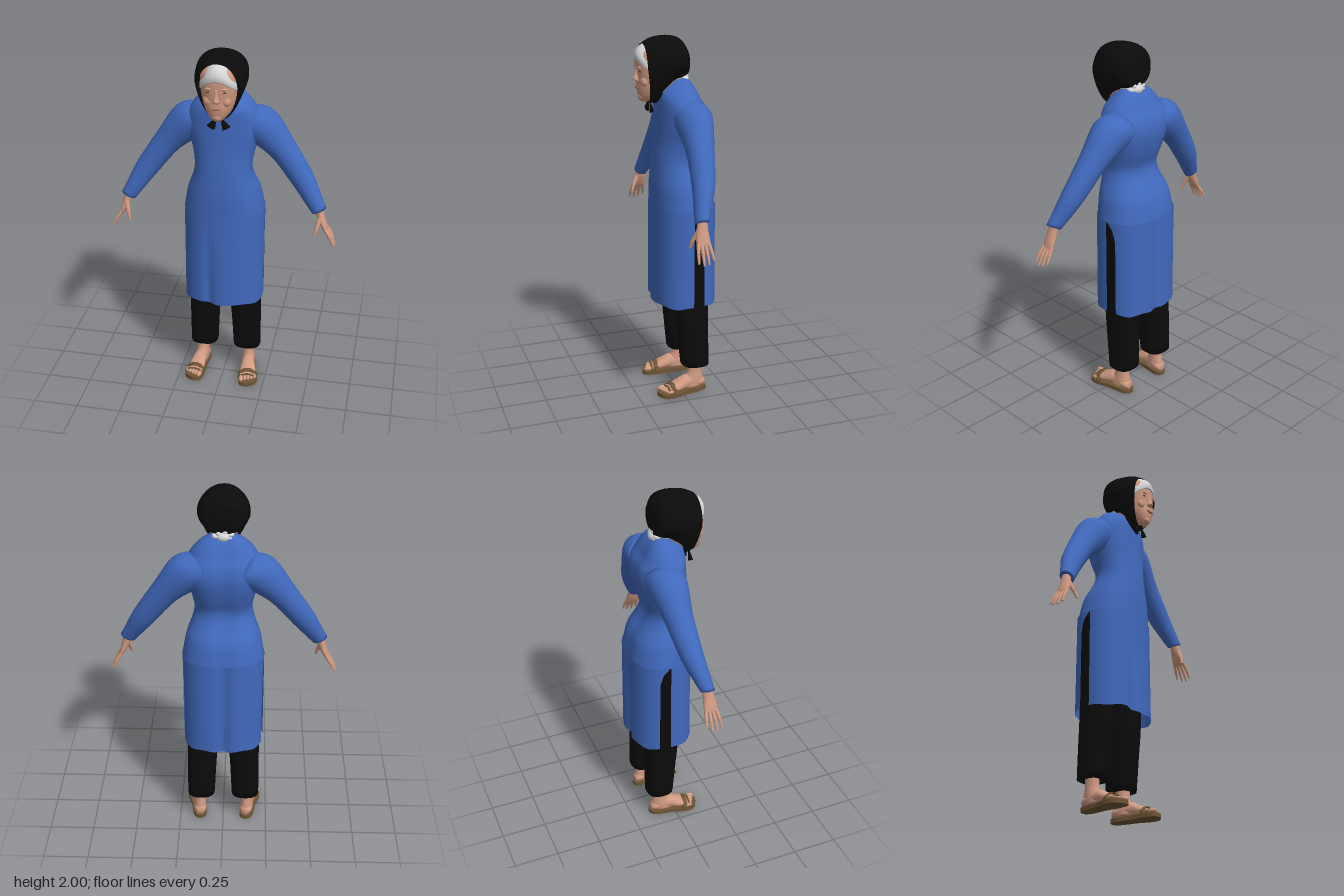
import * as THREE from 'three';

const mat = (name, color, side = THREE.FrontSide) => {
  const m = new THREE.MeshStandardMaterial({ color, side });
  m.name = name;
  return m;
};

// Grid surface from fn(u, v); wraps around u, optional end caps, faces turned outwards
function grid(fn, nu, nv, wrap, capA, capB) {
  const pos = [], idx = [], cols = wrap ? nu : nu + 1;
  for (let j = 0; j <= nv; j++) for (let i = 0; i < cols; i++) pos.push(...fn(i / nu, j / nv));
  for (let j = 0; j < nv; j++) for (let i = 0; i < nu; i++) {
    const a = j * cols + i, b = j * cols + (i + 1) % cols;
    idx.push(a, b, a + cols, b, b + cols, a + cols);
  }
  const cap = (row, flip) => {
    const c = [0, 0, 0], n = pos.length / 3;
    for (let i = 0; i < cols; i++) for (let k = 0; k < 3; k++) c[k] += pos[(row * cols + i) * 3 + k] / cols;
    pos.push(...c);
    for (let i = 0; i < cols; i++) {
      const a = row * cols + i, b = row * cols + (i + 1) % cols;
      idx.push(...(flip ? [n, b, a] : [n, a, b]));
    }
  };
  if (capA) cap(0, true);
  if (capB) cap(nv, false);
  const g = new THREE.BufferGeometry();
  g.setAttribute('position', new THREE.Float32BufferAttribute(pos, 3));
  g.computeBoundingBox();
  const mid = g.boundingBox.getCenter(new THREE.Vector3());
  const P = i => new THREE.Vector3().fromArray(pos, i * 3).sub(mid);
  let vol = 0;
  for (let i = 0; i < idx.length; i += 3) vol += P(idx[i]).dot(P(idx[i + 1]).cross(P(idx[i + 2])));
  g.setIndex(vol < 0 ? idx.reverse() : idx);
  g.computeVertexNormals();
  return g;
}

const spow = (v, e) => Math.sign(v) * Math.abs(v) ** e;

// Smooth loft through stations [x, y, z, halfWidth, halfDepth, tilt]
function loft(st, { seg = 24, p = 2, capA = true, capB = true, warp = null } = {}) {
  const path = new THREE.CatmullRomCurve3(st.map(s => new THREE.Vector3(s[0], s[1], s[2])), false, 'catmullrom', 0.5);
  const size = new THREE.CatmullRomCurve3(st.map(s => new THREE.Vector3(s[3], s[4], s[5] || 0)), false, 'catmullrom', 0.5);
  return grid((u, v) => {
    const c = path.getPoint(v), r = size.getPoint(v), t = u * Math.PI * 2;
    const w = r.x * spow(Math.cos(t), 2 / p), d = r.y * spow(Math.sin(t), 2 / p);
    const q = [c.x + w * Math.cos(r.z), c.y + w * Math.sin(r.z), c.z + d];
    return warp ? warp(q) : q;
  }, seg, (st.length - 1) * 4, true, capA, capB);
}

const ball = (x, y, z, a, b, c) => new THREE.SphereGeometry(1, 16, 10).scale(a, b, c).translate(x, y, z);

// Tapered round bar between two points
function bar(p, q, r0, r1) {
  const A = new THREE.Vector3(...p), B = new THREE.Vector3(...q), d = B.clone().sub(A);
  const g = new THREE.CylinderGeometry(r1, r0, d.length(), 8);
  g.applyQuaternion(new THREE.Quaternion().setFromUnitVectors(new THREE.Vector3(0, 1, 0), d.clone().normalize()));
  return g.translate(...A.add(B).multiplyScalar(0.5).toArray());
}

function mirrored(geo) {
  const g = geo.clone().scale(-1, 1, 1);
  const n = g.attributes.position.count;
  const idx = g.index ? Array.from(g.index.array) : Array.from({ length: n }, (_, i) => i);
  g.setIndex(idx.reverse());
  return g;
}

export function createModel() {
  const model = new THREE.Group();
  model.name = 'womanInTunic';
  const blue = mat('tunicBlue', 0x4169bd, THREE.DoubleSide);
  const black = mat('clothBlack', 0x0b0b0b, THREE.DoubleSide);
  const skin = mat('skin', 0xd09a82);
  const hair = mat('hairGrey', 0xd6d6d6);
  const brown = mat('sandalBrown', 0x6e5535);
  const lip = mat('lips', 0x9c6555);
  const dark = mat('eyeDark', 0x594238);
  const add = (name, geo, m) => {
    const o = new THREE.Mesh(geo, m);
    o.name = name;
    model.add(o);
  };
  const pair = (name, geo, m) => {
    add(name + 'Left', geo, m);
    add(name + 'Right', mirrored(geo), m);
  };

  // Tunic bodice, with a collar that drops towards the front and a soft spine groove
  add('bodice', loft([
    [0, 1.085, -0.046, 0.222, 0.170], [0, 1.2, -0.033, 0.2, 0.158], [0, 1.29, -0.01, 0.167, 0.13],
    [0, 1.36, -0.003, 0.155, 0.118], [0, 1.45, -0.022, 0.17, 0.128], [0, 1.55, -0.035, 0.198, 0.135],
    [0, 1.63, -0.032, 0.198, 0.128], [0, 1.68, -0.015, 0.17, 0.11], [0, 1.72, 0.012, 0.12, 0.083],
    [0, 1.75, 0.042, 0.066, 0.055],
  ], {
    seg: 40, p: 2.25, capA: false, capB: false, warp: ([x, y, z]) => {
      const k = THREE.MathUtils.smoothstep(y, 1.66, 1.75);
      const groove = z < -0.06 ? 0.012 * Math.exp(-((x / 0.04) ** 2)) : 0;
      return [x, y - 0.7 * k * (z - 0.04), z + groove];
    },
  }), blue);

  // Skirt panels, parted by a slit at each side
  const panel = front => grid((u, v) => {
    const y = 1.09 - 0.555 * v;
    const slit = 0.29 * Math.sqrt(Math.min(1, v / 0.2));
    const t = front ? u * Math.PI : Math.PI + slit + u * (Math.PI - 2 * slit);
    const x = 0.222 * spow(Math.cos(t), 2 / 2.4);
    let z = -0.046 + (0.17 + 0.005 * v) * spow(Math.sin(t), 2 / 2.4);
    if (front) z -= 0.02 * v * Math.exp(-(((x + 0.06) / 0.025) ** 2));
    else z += 0.014 * Math.exp(-((x / 0.035) ** 2)) * (1 + 0.6 * v);
    return [x, y + 0.005 * v * Math.cos(u * 19), z];
  }, 48, 14, false);
  add('skirtFront', panel(true), blue);
  add('skirtBack', panel(false), blue);

  // Sleeves
  pair('sleeve', loft([
    [0.09, 1.6, -0.05, 0.1, 0.1, 0.95], [0.18, 1.575, -0.05, 0.112, 0.102, 0.72],
    [0.305, 1.455, -0.042, 0.077, 0.075, 0.62], [0.425, 1.293, -0.018, 0.063, 0.06, 0.55],
    [0.49, 1.19, 0.01, 0.049, 0.046, 0.5], [0.525, 1.135, 0.026, 0.042, 0.037, 0.45],
  ]), blue);

  // Hands
  pair('palm', loft([
    [0.522, 1.16, 0.022, 0.022, 0.024, 0.4], [0.537, 1.1, 0.028, 0.021, 0.031, 0.4],
    [0.555, 1.055, 0.03, 0.017, 0.037, 0.5], [0.568, 1.025, 0.03, 0.011, 0.035, 0.5],
  ], { seg: 14 }), skin);
  [-1.5, -0.5, 0.5, 1.5].forEach((k, i) => {
    const len = [0.8, 0.97, 1, 0.9][i];
    const a = [0.562, 1.04, 0.03 + k * 0.018];
    const b = [0.562 + 0.034 * len, 1.04 - 0.052 * len, 0.031 + k * 0.024];
    const c = [0.562 + 0.058 * len, 1.04 - 0.1 * len, 0.031 + k * 0.027];
    pair('fingerBase', bar(a, b, 0.0105, 0.009), skin);
    pair('fingerTip', bar(b, c, 0.009, 0.005), skin);
  });
  pair('thumbBase', bar([0.535, 1.1, 0.045], [0.52, 1.045, 0.073], 0.015, 0.011), skin);
  pair('thumbTip', bar([0.52, 1.045, 0.073], [0.51, 1.005, 0.085], 0.011, 0.006), skin);

  // Trousers
  pair('trouserLeg', loft([
    [0.127, 0.165, -0.083, 0.078, 0.077], [0.122, 0.35, -0.073, 0.082, 0.085],
    [0.116, 0.53, -0.063, 0.087, 0.093], [0.113, 0.8, -0.062, 0.09, 0.098], [0.112, 1.12, -0.052, 0.088, 0.1],
  ], { p: 2.6 }), black);

  // Feet and sandals, made facing forward and then turned slightly outwards
  const foot = (name, g, m) => pair(name, g.rotateY(0.12).translate(0.147, 0, 0), m);
  foot('ankle', loft([
    [0, 0.2, -0.08, 0.034, 0.042], [0, 0.12, -0.08, 0.033, 0.042],
    [0, 0.07, -0.07, 0.037, 0.062], [0, 0.03, -0.06, 0.036, 0.075],
  ], { seg: 18 }), skin);
  foot('footBody', loft([
    [0, -0.138, -0.045, 0.02, 0.02], [0, -0.11, -0.052, 0.035, 0.03], [0, -0.03, -0.062, 0.037, 0.042],
    [0, 0.03, -0.048, 0.045, 0.03], [0, 0.085, -0.036, 0.046, 0.016],
  ], { seg: 18 }).rotateX(Math.PI / 2), skin);
  for (let i = 0; i < 5; i++) {
    const r = i ? 0.0095 : 0.0135;
    foot('toe', ball(-0.036 + i * 0.0185 + (i ? 0.004 : 0), 0.034, 0.108 - 0.007 * i, r, r, 0.026), skin);
  }
  const sole = new THREE.Shape();
  sole.moveTo(0, -0.148);
  sole.bezierCurveTo(0.055, -0.148, 0.035, -0.05, 0.045, 0);
  sole.bezierCurveTo(0.06, 0.06, 0.062, 0.09, 0.045, 0.115);
  sole.bezierCurveTo(0.02, 0.142, -0.03, 0.15, -0.045, 0.125);
  sole.bezierCurveTo(-0.06, 0.08, -0.04, 0.02, -0.038, -0.03);
  sole.bezierCurveTo(-0.036, -0.08, -0.05, -0.148, 0, -0.148);
  const soleGeo = new THREE.ExtrudeGeometry(sole, { depth: 0.022, bevelEnabled: false, curveSegments: 10 });
  foot('sandalSole', soleGeo.rotateX(Math.PI / 2).translate(0, 0.022, 0), brown);
  foot('sandalStrap', new THREE.TorusGeometry(0.05, 0.007, 6, 18, Math.PI).scale(1, 0.92, 2.6).translate(0, 0.018, 0.06), brown);
  foot('sandalToeStrap', new THREE.TorusGeometry(0.05, 0.006, 6, 18, Math.PI).scale(1.02, 0.66, 1.2).translate(0, 0.018, 0.088), brown);

  // Neck, head and face
  add('neck', bar([0, 1.66, 0.035], [0, 1.82, 0.065], 0.056, 0.052), skin);
  add('head', loft([
    [0, 1.663, 0.155, 0.022, 0.022], [0, 1.69, 0.125, 0.052, 0.067], [0, 1.73, 0.11, 0.075, 0.09],
    [0, 1.78, 0.1, 0.09, 0.1], [0, 1.85, 0.098, 0.099, 0.108], [0, 1.92, 0.09, 0.094, 0.108],
    [0, 1.965, 0.075, 0.06, 0.07],
  ], { p: 2.3 }), skin);
  add('nose', loft([
    [0, 1.772, 0.196, 0.02, 0.016], [0, 1.783, 0.202, 0.019, 0.023],
    [0, 1.81, 0.2, 0.011, 0.015], [0, 1.845, 0.198, 0.008, 0.01],
  ], { seg: 12 }), skin);
  add('chin', ball(0, 1.69, 0.175, 0.03, 0.024, 0.022), skin);
  add('mouth', ball(0, 1.738, 0.203, 0.026, 0.005, 0.006), lip);
  pair('cheek', ball(0.046, 1.775, 0.172, 0.027, 0.03, 0.024), skin);
  pair('eye', ball(0.037, 1.828, 0.194, 0.016, 0.005, 0.006), dark);
  pair('brow', ball(0.037, 1.846, 0.199, 0.022, 0.007, 0.007), skin);

  // Hair in front, parted over the forehead, and a bun at the nape
  add('frontHair', loft([
    [0, 1.885, 0.1, 0.101, 0.111], [0, 1.915, 0.098, 0.102, 0.114],
    [0, 1.945, 0.09, 0.088, 0.106], [0, 1.972, 0.08, 0.06, 0.08],
  ], { seg: 32, p: 2.2, warp: ([x, y, z]) => [x, y - 0.065 * (x / 0.1) ** 2, z] }), hair);
  add('napeHair', ball(0, 1.79, 0.0, 0.068, 0.035, 0.05), hair);
  add('bun', ball(0, 1.775, -0.04, 0.045, 0.032, 0.044), hair);
  for (let i = 0; i < 7; i++) {
    const t = i / 7 * Math.PI * 2;
    add('bunCurl', ball(0.04 * Math.cos(t), 1.777 + 0.024 * Math.sin(t), -0.047, 0.02, 0.015, 0.024), hair);
  }

  // Headscarf, open around the face and narrowing to the chin
  add('headscarf', loft([
    [0, 0.172, -1.812, 0.106, 0.155], [0, 0.13, -1.82, 0.125, 0.17], [0, 0.08, -1.85, 0.136, 0.15],
    [0, 0.02, -1.88, 0.136, 0.12], [0, -0.03, -1.88, 0.122, 0.104], [0, -0.062, -1.865, 0.09, 0.073],
  ], {
    seg: 36, p: 2.2, capA: false, warp: ([x, z, ny]) => {
      const low = Math.max(0, 1.85 + ny);
      return [x * (1 - 1.5 * low), z - 0.16 * low * (z > 0.1 ? 1 : 0.3), ny];
    },
  }).rotateX(Math.PI / 2), black);
  add('scarfKnot', ball(0, 1.668, 0.135, 0.018, 0.016, 0.018), black);
  pair('scarfTail', new THREE.ConeGeometry(0.024, 0.075, 8).scale(1, 1, 0.45).rotateZ(0.5).translate(0.024, 1.645, 0.135), black);

  return model;
}
